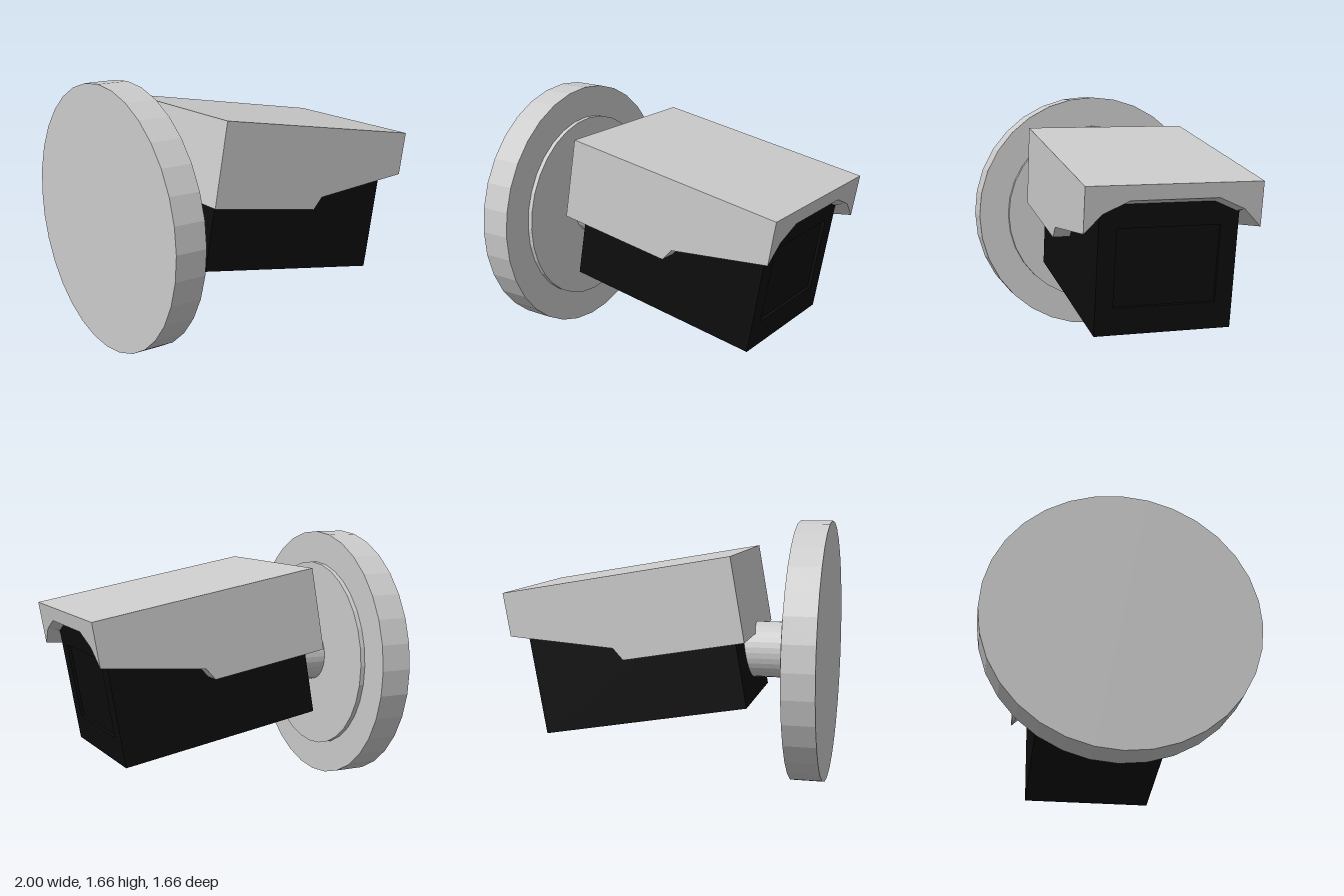
import * as THREE from 'three';

export function createModel() {
  const model = new THREE.Group();
  const grey = new THREE.MeshStandardMaterial({ color: 0xcccccc, flatShading: true });
  const black = new THREE.MeshStandardMaterial({ color: 0x0d0d0d, flatShading: true });

  const add = (parent, name, geometry, material) => {
    const mesh = new THREE.Mesh(geometry, material);
    mesh.name = name;
    parent.add(mesh);
    return mesh;
  };

  // Wall mount: round discs and arm lying along x
  const disc = (name, radius, x0, x1) => {
    const g = new THREE.CylinderGeometry(radius, radius, x1 - x0, 32).rotateZ(Math.PI / 2);
    add(model, name, g, grey).position.set((x0 + x1) / 2, 0.833, 0);
  };
  disc('wallPlate', 0.83, -1, -0.8);
  disc('plateStep', 0.625, -0.8, -0.77);
  disc('mountArm', 0.18, -0.77, -0.4);

  // Tilted head, with its origin at the rear top edge of the hood
  const head = new THREE.Group();
  head.name = 'cameraHead';
  head.position.set(-0.45, 1.468, 0);
  head.rotation.z = -Math.PI / 18;
  model.add(head);

  // Hood: cross-sections [x, outer edge, shoulder, roof of the cavity]
  const stations = [
    [0, -0.526, -0.526, -0.526],
    [0.768, -0.526, -0.526, -0.526],
    [0.82, -0.444, -0.444, -0.444],
    [1.471, -0.278, -0.165, -0.092],
  ];
  const positions = [];
  const index = [];
  for (const [x, edge, shoulder, roof] of stations) {
    const half = [[0.54, 0], [0.54, edge], [0.43, shoulder], [0.27, roof]];
    const ring = [[-0.54, 0], ...half, ...half.slice(1).reverse().map(([z, y]) => [-z, y])];
    for (const [z, y] of ring) positions.push(x, y, z);
  }
  const quad = (a, b, c, d) => index.push(a, b, c, a, c, d);
  for (let i = 0; i < stations.length - 1; i++) {
    for (let j = 0; j < 8; j++) {
      const k = (j + 1) % 8;
      quad(i * 8 + j, i * 8 + k, i * 8 + 8 + k, i * 8 + 8 + j);
    }
  }
  // End caps
  const last = (stations.length - 1) * 8;
  for (const [a, b, c, d] of [[0, 1, 4, 5], [1, 2, 3, 4], [0, 5, 6, 7]]) {
    quad(last + a, last + b, last + c, last + d);
    quad(d, c, b, a);
  }
  const hood = new THREE.BufferGeometry();
  hood.setAttribute('position', new THREE.Float32BufferAttribute(positions, 3));
  hood.setIndex(index);
  const hoodFlat = hood.toNonIndexed();
  hoodFlat.computeVertexNormals();
  add(head, 'hood', hoodFlat, grey);

  // Body: chamfered outline with a shallow window recess in the front
  const outline = () => new THREE.Shape([
    [-0.43, -0.942], [0.43, -0.942], [0.43, -0.175],
    [0.27, -0.105], [-0.27, -0.105], [-0.43, -0.175],
  ].map(([x, y]) => new THREE.Vector2(x, y)));
  const slab = (shape, x0, x1) =>
    new THREE.ExtrudeGeometry(shape, { depth: x1 - x0, bevelEnabled: false })
      .translate(0, 0, x0).rotateY(Math.PI / 2);
  add(head, 'body', slab(outline(), 0.075, 1.375), black);
  const rim = outline();
  rim.holes.push(new THREE.Path([
    [-0.32, -0.77], [-0.32, -0.28], [0.32, -0.28], [0.32, -0.77],
  ].map(([x, y]) => new THREE.Vector2(x, y))));
  add(head, 'windowFrame', slab(rim, 1.375, 1.395), black);

  return model;
}
